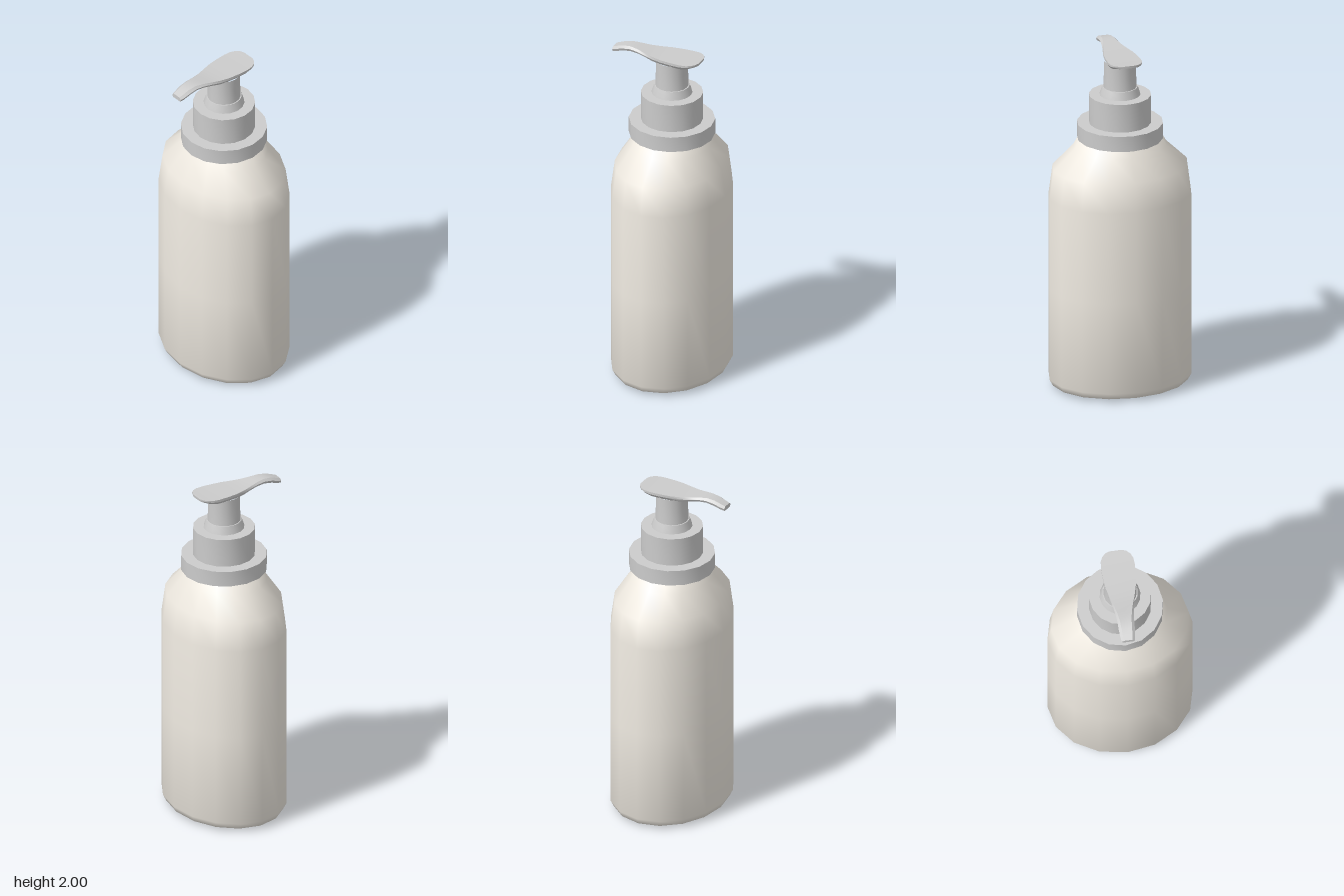
import * as THREE from 'three';
import { toCreasedNormals } from 'three/addons/utils/BufferGeometryUtils.js';

const SIDES = 16;
const AXIS_Z = -0.012; // bottle axis sits slightly behind the centre
const pumpMaterial = new THREE.MeshStandardMaterial({ color: 0xcccccc });
const bottleMaterial = new THREE.MeshStandardMaterial({ color: 0xf0ebe2 });

function addPart(group, name, geometry, material, crease, z = 0) {
  const mesh = new THREE.Mesh(toCreasedNormals(geometry, crease), material);
  mesh.name = name;
  mesh.position.z = z;
  group.add(mesh);
}

function lathe(profile) {
  return new THREE.LatheGeometry(profile.map(([r, y]) => new THREE.Vector2(r, y)), SIDES);
}

// Oval bottle: rows of [half width, y, half depth]
function bottleGeometry() {
  const rows = [
    [0, 0, 0], [0.33, 0, 0.265], [0.395, 0.018, 0.315], [0.415, 0.055, 0.333],
    [0.415, 0.6, 0.333], [0.415, 1.15, 0.333], [0.393, 1.32, 0.31],
    [0.27, 1.44, 0.232], [0.243, 1.49, 0.213], [0.2, 1.52, 0.19],
  ];
  const geometry = lathe(rows);
  const pos = geometry.attributes.position;
  for (let i = 0; i < pos.count; i++) {
    const [rx, , rz] = rows[i % rows.length];
    if (rx > 0) pos.setZ(i, pos.getZ(i) * rz / rx);
  }
  return geometry;
}

// Pump head lofted from back to spout tip: [z, half width, top y, bottom y, top width factor]
function headGeometry() {
  const stations = [
    [-0.195, 0.035, 1.986, 1.972, 1], [-0.186, 0.06, 1.986, 1.97, 1],
    [-0.168, 0.08, 1.985, 1.966, 1], [-0.14, 0.093, 1.984, 1.958, 1],
    [-0.1, 0.097, 1.983, 1.951, 1], [-0.04, 0.094, 1.983, 1.95, 1],
    [0.02, 0.087, 1.983, 1.95, 1], [0.08, 0.074, 1.984, 1.952, 0.97],
    [0.13, 0.062, 1.988, 1.962, 0.9], [0.18, 0.053, 1.995, 1.971, 0.8],
    [0.23, 0.048, 2.0, 1.974, 0.7], [0.28, 0.046, 1.994, 1.965, 0.65],
    [0.32, 0.042, 1.98, 1.951, 0.65], [0.345, 0.037, 1.971, 1.945, 0.65],
  ];
  const positions = [], index = [], n = 6;
  for (const [z, w, top, bottom, k] of stations) {
    const mid = top - (top - bottom) * 0.45;
    const ring = [[w * k, top], [-w * k, top], [-w, mid], [-w * 0.85, bottom], [w * 0.85, bottom], [w, mid]];
    for (const [x, y] of ring) positions.push(x, y, z);
  }
  for (let s = 0; s < stations.length - 1; s++) {
    for (let j = 0; j < n; j++) {
      const a = s * n + j, b = s * n + (j + 1) % n;
      index.push(a, b, b + n, a, b + n, a + n);
    }
  }
  // End caps
  const last = (stations.length - 1) * n;
  for (let j = 1; j < n - 1; j++) {
    index.push(0, j + 1, j);
    index.push(last, last + j, last + j + 1);
  }
  const geometry = new THREE.BufferGeometry();
  geometry.setAttribute('position', new THREE.Float32BufferAttribute(positions, 3));
  geometry.setIndex(index);
  return geometry;
}

export function createModel() {
  const model = new THREE.Group();
  model.name = 'pumpBottle';

  addPart(model, 'bottle', bottleGeometry(), bottleMaterial, 1.2, AXIS_Z);

  const pump = new THREE.Group();
  pump.name = 'pump';
  model.add(pump);

  // Wide collar and cap above it
  addPart(pump, 'collar', lathe([[0.19, 1.49], [0.245, 1.49], [0.245, 1.582], [0.17, 1.582]]), pumpMaterial, 0.7, AXIS_Z);
  addPart(pump, 'cap', lathe([[0.177, 1.575], [0.177, 1.75], [0, 1.75]]), pumpMaterial, 0.7, AXIS_Z);

  // Flared stem base and stem
  addPart(pump, 'stemBase', lathe([[0.117, 1.748], [0.113, 1.762], [0.101, 1.797], [0.09, 1.797]]), pumpMaterial, 0.7, AXIS_Z);
  addPart(pump, 'stem', lathe([[0.095, 1.79], [0.092, 1.87], [0.092, 1.956]]), pumpMaterial, 0.7, AXIS_Z);

  addPart(pump, 'pumpHead', headGeometry(), pumpMaterial, 0.6);
  return model;
}
